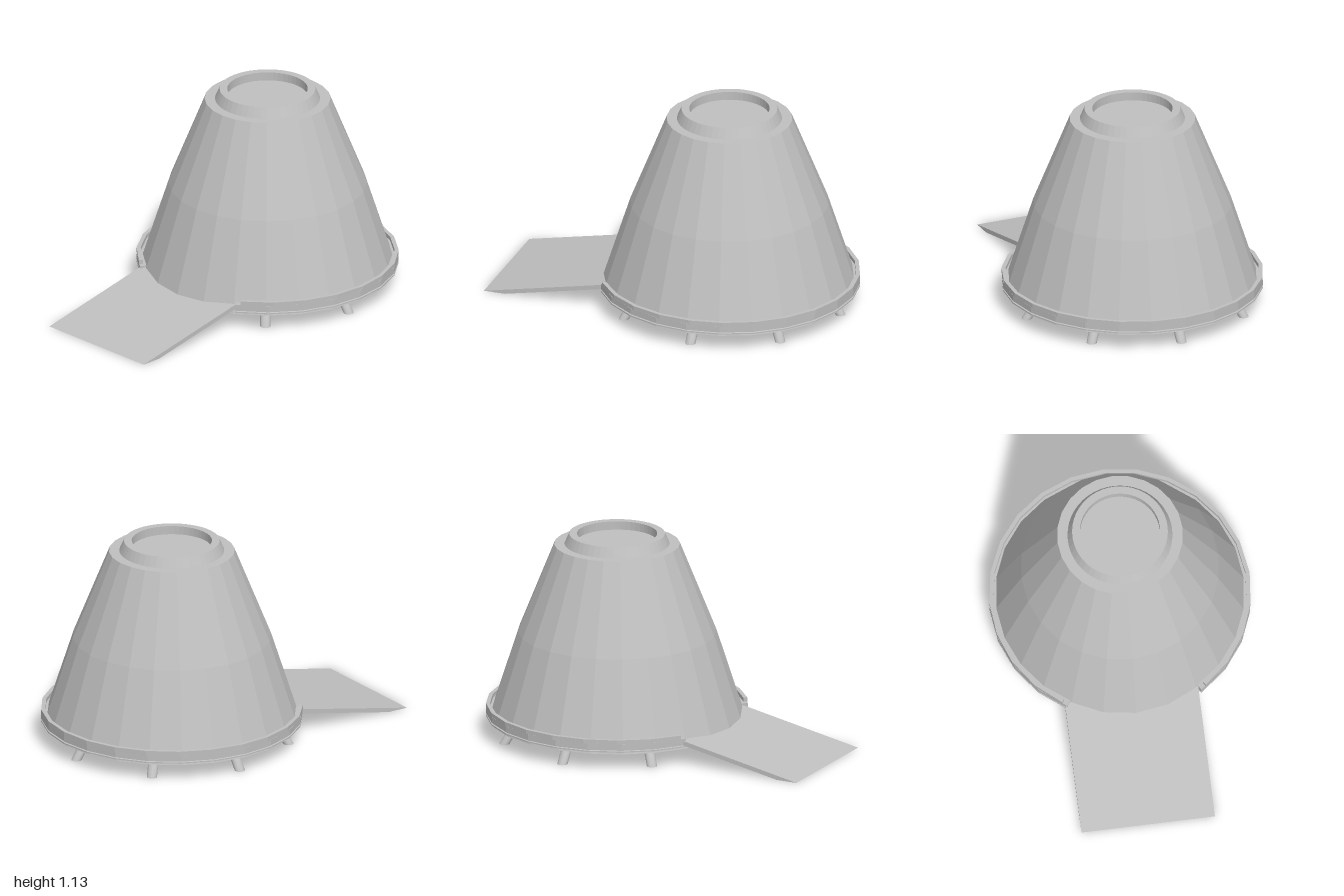
import * as THREE from 'three';

const SIDES = 24;
const CENTRE_Z = -0.29;

export function createModel() {
  const group = new THREE.Group();
  const grey = new THREE.MeshStandardMaterial({ color: 0xbfbfbf, side: THREE.DoubleSide });
  grey.name = 'grey metal';

  const capsule = new THREE.Group();
  capsule.name = 'capsule';
  capsule.position.z = CENTRE_Z;
  group.add(capsule);

  const add = (name, geometry, parent = capsule) => {
    const mesh = new THREE.Mesh(geometry, grey);
    mesh.name = name;
    parent.add(mesh);
    return mesh;
  };
  const toPoints = (pairs) => pairs.map(([r, y]) => new THREE.Vector2(r, y));

  // Faceted revolved part
  const turn = (pairs, sides = SIDES, start = 0, sweep = Math.PI * 2) => {
    const geometry = new THREE.LatheGeometry(toPoints(pairs), sides, start, sweep).toNonIndexed();
    geometry.computeVertexNormals();
    return geometry;
  };

  // Tapered hull with a kink halfway and a shallow groove underneath
  add('hull', turn([
    [0, 0.093], [0.655, 0.093], [0.655, 0.103], [0.67, 0.103], [0.67, 0.09],
    [0.697, 0.09], [0.54, 0.58], [0.342, 1.075], [0.28, 1.075],
  ]));

  // Top collar with a recessed hatch
  add('collar', turn([
    [0.285, 1.075], [0.26, 1.132], [0.218, 1.132], [0.218, 1.085], [0, 1.085],
  ], 48));

  // Base rim, left open at the front for the ramp
  const openRing = (name, pairs, degrees) => {
    const start = THREE.MathUtils.degToRad(degrees);
    const end = Math.PI * 2 - start;
    add(name, turn([...pairs, pairs[0]], 20, start, end - start));
    for (const angle of [start, end]) {
      const cap = add(name + 'End', new THREE.ShapeGeometry(new THREE.Shape(toPoints(pairs))));
      cap.rotation.y = angle - Math.PI / 2;
    }
  };
  openRing('lowerRim', [
    [0.67, 0.104], [0.712, 0.104], [0.712, 0.111], [0.704, 0.113],
    [0.704, 0.118], [0.712, 0.12], [0.712, 0.152], [0.67, 0.152],
  ], 31);
  openRing('upperRim', [[0.69, 0.15], [0.712, 0.15], [0.712, 0.174], [0.69, 0.174]], 33.5);

  // Entry ramp sloping down to the ground
  const rampShape = new THREE.Shape(toPoints([[1, 0], [0.26, 0.15], [0.26, 0.125], [0.88, 0]]));
  const ramp = new THREE.ExtrudeGeometry(rampShape, { depth: 0.73, bevelEnabled: false });
  ramp.rotateY(-Math.PI / 2);
  ramp.translate(0.352, 0, 0);
  add('ramp', ramp, group);

  // Eight splayed legs: upright cylinders sheared outward towards the feet
  const leg = new THREE.CylinderGeometry(0.028, 0.028, 0.1, 16);
  leg.translate(0, 0.05, 0);
  const p = leg.attributes.position;
  for (let i = 0; i < p.count; i++) p.setZ(i, p.getZ(i) + 0.637 - p.getY(i) * 0.67);
  leg.computeVertexNormals();
  const legs = new THREE.Group();
  legs.name = 'legs';
  legs.position.x = -0.01;
  capsule.add(legs);
  for (let i = 0; i < 8; i++) add('leg', leg, legs).rotation.y = (i * Math.PI) / 4;

  return group;
}
